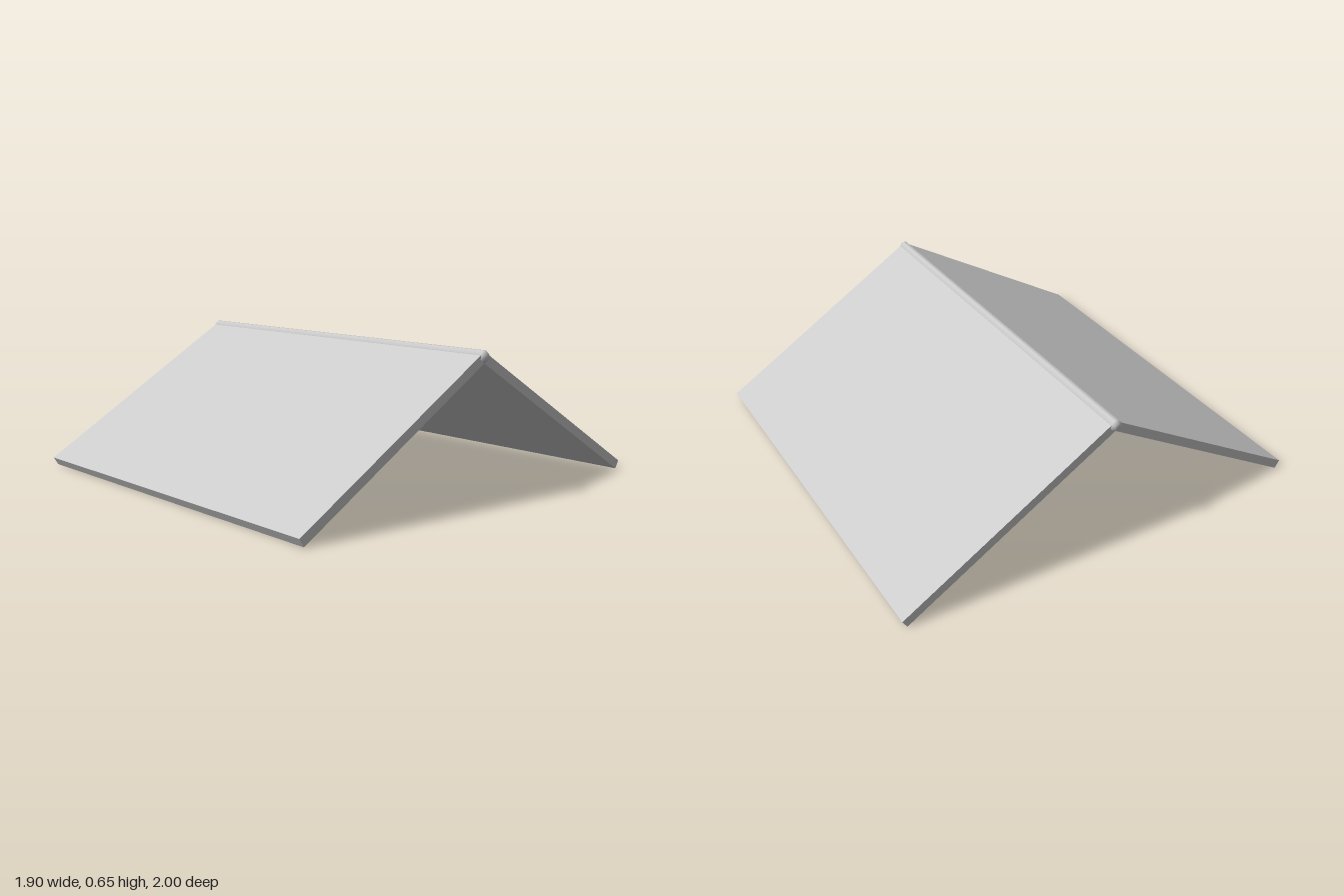
import * as THREE from 'three';

const WIDTH = 1.87;   // along the ridge
const EDGE_Z = 0.98;  // bottom edge of each panel
const INNER_Y = 0.592; // underside at the ridge
const THICK = 0.042;

export function createModel() {
  const group = new THREE.Group();
  group.name = 'gableRoof';
  const material = new THREE.MeshStandardMaterial({ color: 0xcccccc });

  // Sloped slab: cross-section with a square eave and a mitred ridge
  const angle = Math.atan2(INNER_Y, EDGE_Z);
  const section = new THREE.Shape([
    new THREE.Vector2(EDGE_Z, 0),
    new THREE.Vector2(EDGE_Z + THICK * Math.sin(angle), THICK * Math.cos(angle)),
    new THREE.Vector2(0, INNER_Y + THICK / Math.cos(angle)),
    new THREE.Vector2(0, INNER_Y),
  ]);
  const slab = new THREE.ExtrudeGeometry(section, { depth: WIDTH, bevelEnabled: false });
  slab.translate(0, 0, -WIDTH / 2);

  for (const [name, turn] of [['frontPanel', -1], ['backPanel', 1]]) {
    const panel = new THREE.Mesh(slab, material);
    panel.name = name;
    panel.rotation.y = turn * Math.PI / 2;
    group.add(panel);
  }

  // Ridge bar: eight-sided, with tapered ends
  const half = WIDTH / 2;
  const profile = [
    [0, -half - 0.015], [0.017, -half - 0.015], [0.028, -half],
    [0.028, half], [0.017, half + 0.015], [0, half + 0.015],
  ].map(([r, y]) => new THREE.Vector2(r, y));
  const bar = new THREE.LatheGeometry(profile, 8, Math.PI / 8);
  bar.rotateZ(Math.PI / 2);
  bar.scale(1, 1, 0.9);
  const ridge = new THREE.Mesh(bar, material);
  ridge.name = 'ridgeBar';
  ridge.position.y = 0.62;
  group.add(ridge);

  return group;
}
